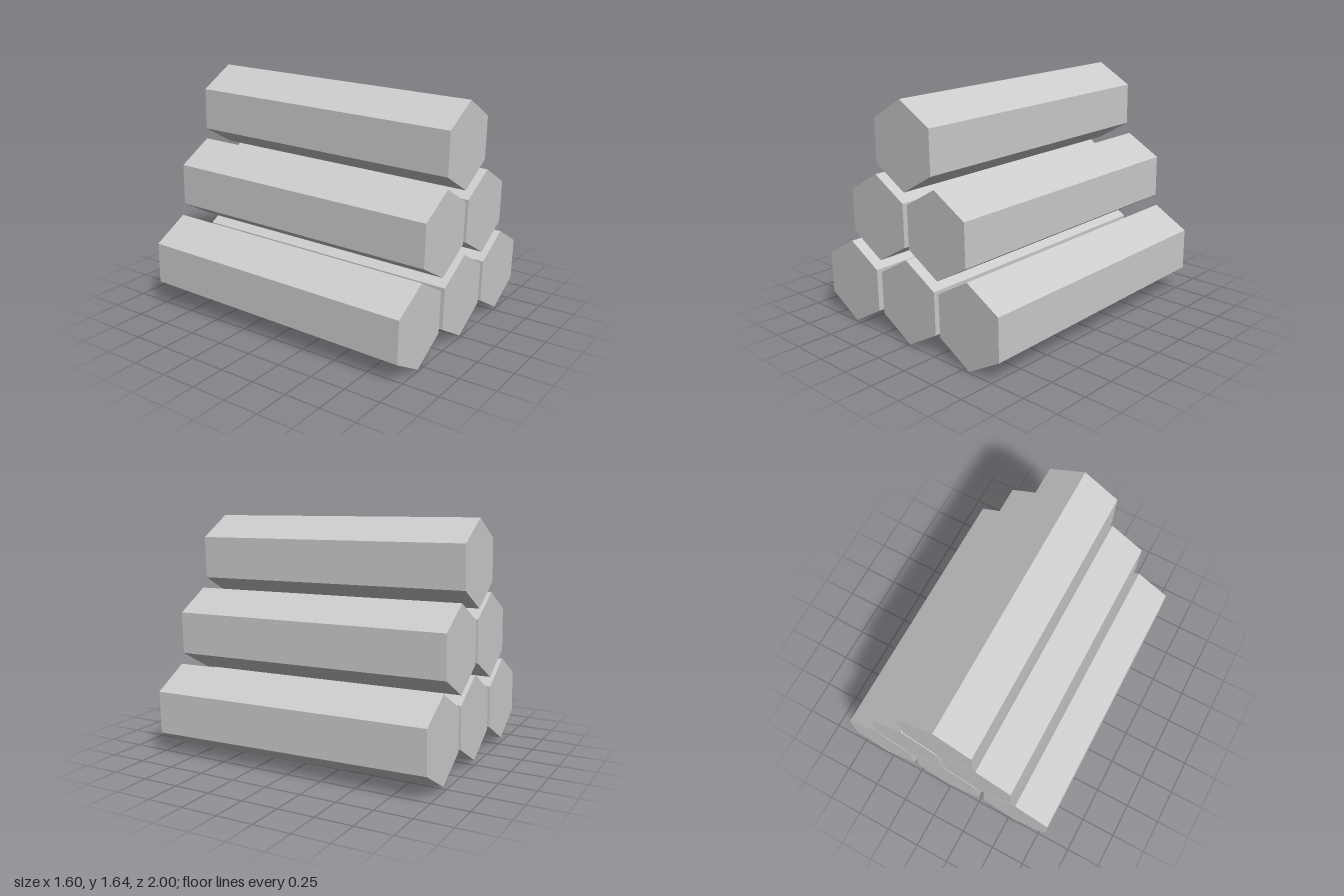
import * as THREE from 'three';

export function createModel() {
  const group = new THREE.Group();
  group.name = 'hexagonalBarStack';
  const material = new THREE.MeshStandardMaterial({ color: 0xcccccc, flatShading: true });

  // One hexagonal bar lying along z, with a corner pointing up
  const bar = new THREE.CylinderGeometry(0.291, 0.291, 1.99, 6).rotateX(Math.PI / 2);

  // Rows from the bottom to the top of the pyramid
  const rows = [
    { name: 'bottomBar', y: 0.3085, xs: [-0.55, 0.005, 0.55] },
    { name: 'middleBar', y: 0.821, xs: [-0.264, 0.281] },
    { name: 'topBar', y: 1.33, xs: [-0.004] },
  ];
  for (const { name, y, xs } of rows) {
    xs.forEach((x, i) => {
      const mesh = new THREE.Mesh(bar, material);
      mesh.name = name + (i + 1);
      mesh.position.set(x, y, 0);
      // Each bar tips slightly down towards the front
      mesh.rotation.x = THREE.MathUtils.degToRad(1);
      group.add(mesh);
    });
  }
  return group;
}
